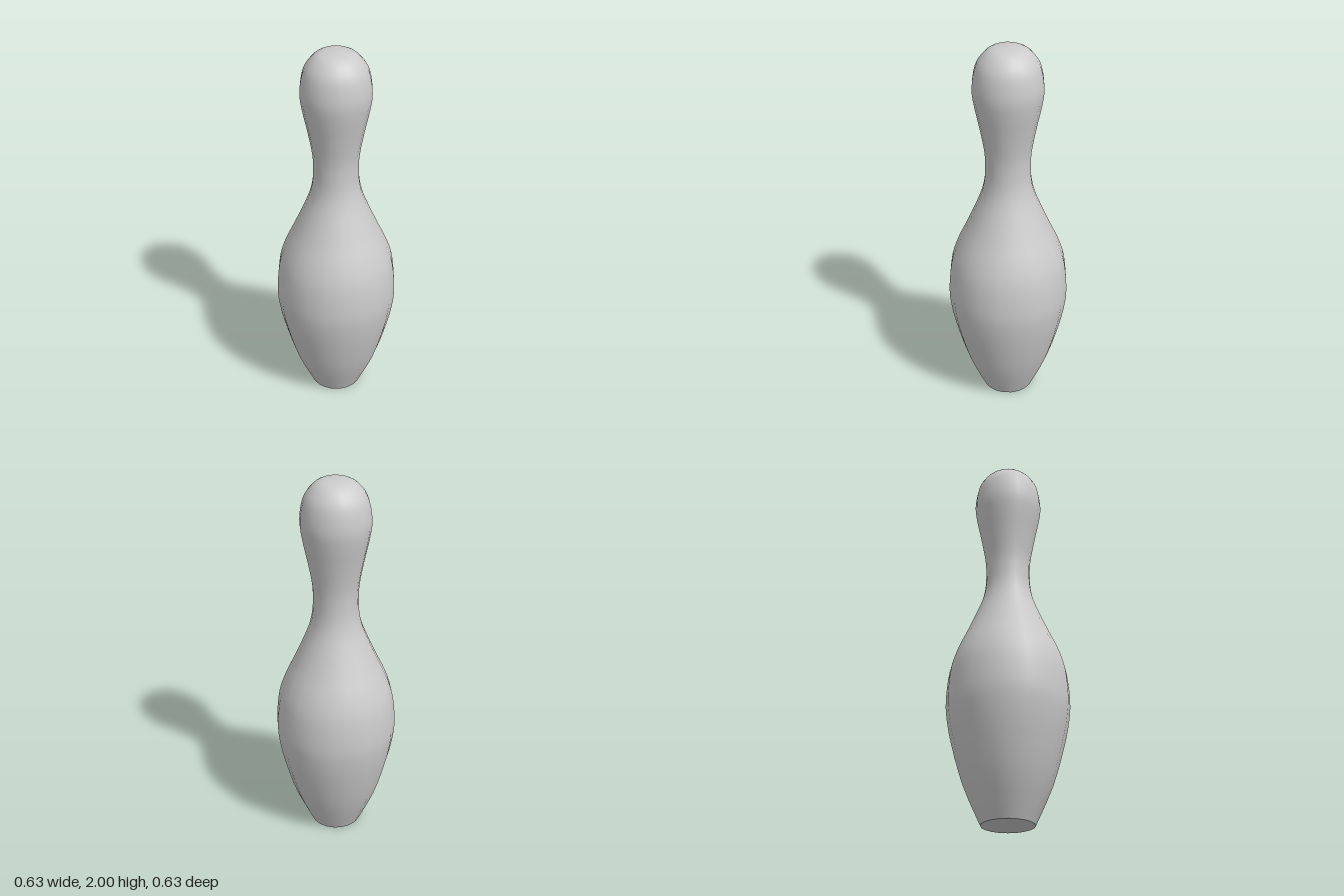
import * as THREE from 'three';

const SIDES = 20;
const BASE_RADIUS = 0.135;

export function createModel() {
  const group = new THREE.Group();
  group.name = 'bowlingPin';
  const material = new THREE.MeshStandardMaterial({ color: 0xcccccc });

  // Body: smooth profile (radius, height) from base to crown, turned around y
  const profile = new THREE.SplineCurve([
    [BASE_RADIUS, 0], [0.222, 0.2], [0.28, 0.4], [0.308, 0.54], [0.315, 0.65],
    [0.3, 0.8], [0.265, 0.91], [0.224, 1.0], [0.18, 1.1], [0.14, 1.2],
    [0.121, 1.28], [0.116, 1.36], [0.12, 1.45], [0.143, 1.58], [0.168, 1.7],
    [0.178, 1.79], [0.163, 1.89], [0.13, 1.95], [0.08, 1.99], [0, 2],
  ].map(([r, y]) => new THREE.Vector2(r, y)));
  const points = profile.getPoints(57);
  points[points.length - 1].set(0, 2);
  const body = new THREE.Mesh(new THREE.LatheGeometry(points, SIDES), material);
  body.name = 'body';
  group.add(body);

  // Flat underside
  const base = new THREE.Mesh(new THREE.CircleGeometry(BASE_RADIUS, SIDES), material);
  base.name = 'base';
  base.rotation.x = Math.PI / 2;
  group.add(base);

  return group;
}
